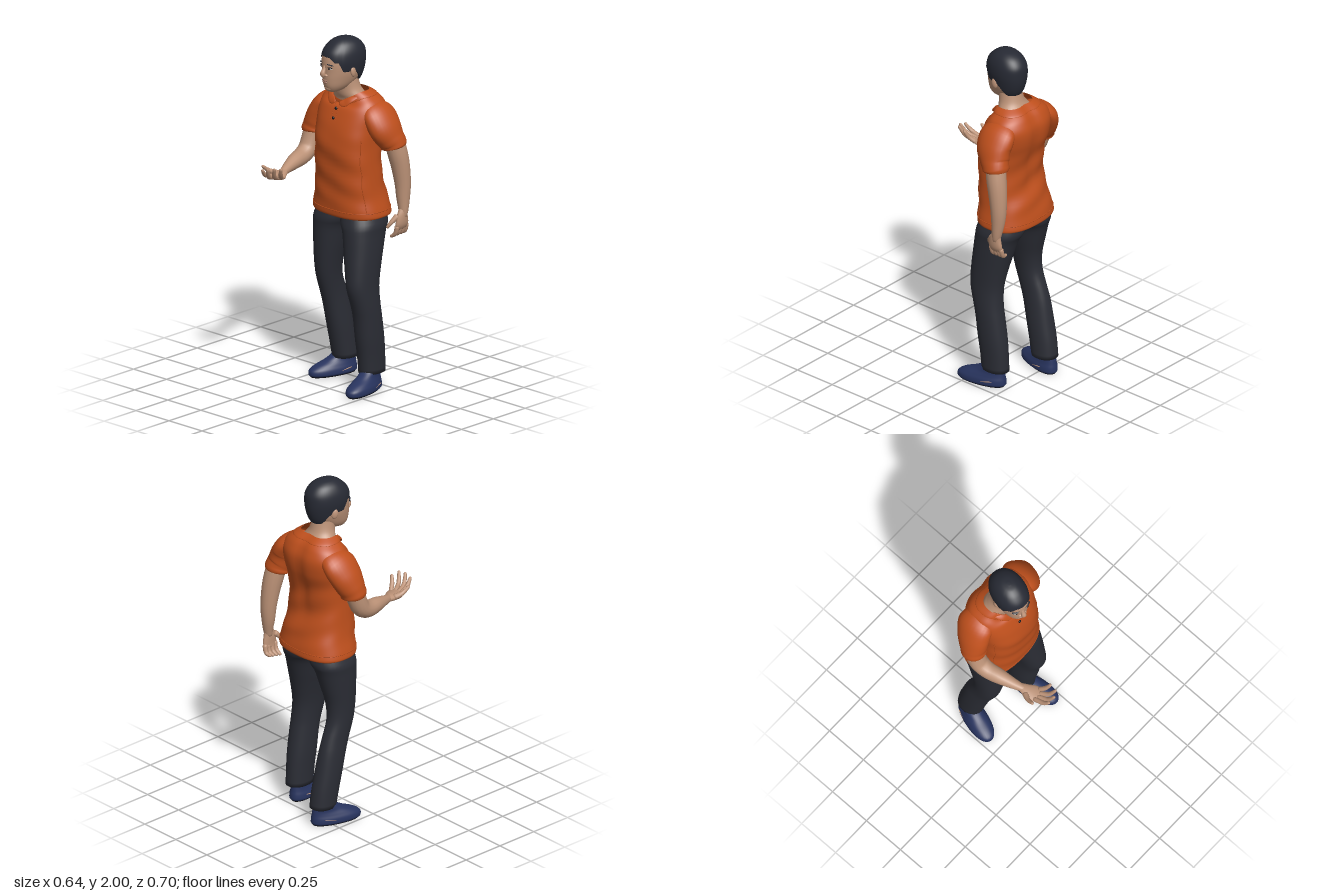
import * as THREE from 'three';

const mat = (name, color, side = THREE.FrontSide) => {
  const m = new THREE.MeshStandardMaterial({ color, side });
  m.name = name;
  return m;
};
const TAU = Math.PI * 2;
const step = THREE.MathUtils.smoothstep;

// Smooth interpolation through a list of rows, t from 0 to 1
function rowAt(rows, t) {
  const f = THREE.MathUtils.clamp(t, 0, 1) * (rows.length - 1);
  const i = Math.min(Math.floor(f), rows.length - 2), u = f - i;
  const get = k => rows[THREE.MathUtils.clamp(k, 0, rows.length - 1)];
  return rows[0].map((_, c) => {
    const a = get(i - 1)[c], b = get(i)[c], d = get(i + 1)[c], e = get(i + 2)[c];
    return b + 0.5 * u * (d - a + u * (2 * a - 5 * b + 4 * d - e + u * (3 * (b - d) + e - a)));
  });
}
function tAtY(rows, y) {
  let lo = 0, hi = 1;
  for (let k = 0; k < 24; k++) {
    const m = (lo + hi) / 2;
    if (rowAt(rows, m)[0] < y) lo = m; else hi = m;
  }
  return lo;
}

// Closed rings of points joined into a skin
function skinOver(point, nv, nu, capStart = true, capEnd = true) {
  const pos = [], idx = [];
  for (let i = 0; i <= nv; i++)
    for (let j = 0; j < nu; j++) pos.push(...point(i / nv, j / nu * TAU).toArray());
  for (let i = 0; i < nv; i++)
    for (let j = 0; j < nu; j++) {
      const a = i * nu + j, b = i * nu + (j + 1) % nu;
      idx.push(a, b, b + nu, a, b + nu, a + nu);
    }
  const cap = (start, end) => {
    const c = new THREE.Vector3(), n = pos.length / 3;
    for (let j = 0; j < nu; j++) c.add(new THREE.Vector3().fromArray(pos, (start + j) * 3));
    pos.push(...c.divideScalar(nu).toArray());
    for (let j = 0; j < nu; j++) {
      const a = start + j, b = start + (j + 1) % nu;
      idx.push(n, end ? a : b, end ? b : a);
    }
  };
  if (capStart) cap(0, false);
  if (capEnd) cap(nv * nu, true);
  const g = new THREE.BufferGeometry();
  g.setAttribute('position', new THREE.Float32BufferAttribute(pos, 3));
  g.setIndex(idx);
  g.computeVertexNormals();
  return g;
}

// Point on an upright form; rows are [y, x0, x1, back z, front z], bottom to top
function formPoint(rows, t, a, p = 2) {
  const [y, x0, x1, z0, z1] = rowAt(rows, t);
  const pw = v => Math.sign(v) * Math.abs(v) ** (2 / p);
  return new THREE.Vector3((x0 + x1) / 2 + pw(Math.cos(a)) * (x1 - x0) / 2, y,
    (z0 + z1) / 2 - pw(Math.sin(a)) * (z1 - z0) / 2);
}
const loft = (rows, p = 2, nv = 32, nu = 36) => skinOver((t, a) => formPoint(rows, t, a, p), nv, nu);

// Rounded limb; rows are [x, y, z, radius, second radius], ref sets the flat direction
function limb(rows, ref = [0, 0, 1], nv = 20, nu = 16) {
  const full = rows.map(r => r.length > 4 ? r : [...r, r[3]]);
  const R = new THREE.Vector3(...ref);
  const at = t => new THREE.Vector3(...rowAt(full, t).slice(0, 3));
  return skinOver((v, a) => {
    const r = rowAt(full, v), T = at(v + 0.02).sub(at(v - 0.02)).normalize();
    const b = new THREE.Vector3().crossVectors(T, R).normalize();
    const n = new THREE.Vector3().crossVectors(T, b);
    const end = v === 0 || v === 1 ? 0.55 : 1;
    return at(v).addScaledVector(b, Math.cos(a) * r[3] * end).addScaledVector(n, Math.sin(a) * r[4] * end);
  }, nv, nu);
}

const TORSO = [[.99, -.20, .21, -.32, -.03], [.996, -.222, .23, -.34, -.013], [1.03, -.219, .228, -.339, -.008],
  [1.12, -.197, .208, -.32, -.006], [1.25, -.186, .198, -.287, -.002], [1.4, -.183, .192, -.298, .005],
  [1.5, -.193, .197, -.325, -.015], [1.58, -.198, .203, -.33, -.045], [1.635, -.18, .185, -.31, -.072],
  [1.67, -.14, .145, -.283, -.085], [1.695, -.105, .11, -.245, -.085]];
// Neckline dips to a V at the front
function torsoPoint(t, a) {
  const p = formPoint(TORSO, t, a, 2.5);
  p.y -= 0.055 * step(p.y, 1.6, 1.695) * Math.max(0, -Math.sin(a)) ** 3;
  const fold = step(p.y, 1.0, 1.15) * (1 - step(p.y, 1.3, 1.55)) * 0.004;
  p.z += fold * Math.sin(p.y * 42 + p.x * 16);
  // Shallow groove along the spine
  p.z += 0.012 * step(p.y, 1.15, 1.35) * Math.max(0, Math.sin(a)) * Math.exp(-((p.x / .04) ** 2));
  return p;
}
const HEAD = [[1.7, -.02, .02, .05, .09], [1.712, -.04, .04, 0, .107], [1.74, -.06, .06, -.05, .121],
  [1.78, -.075, .075, -.1, .126], [1.82, -.084, .084, -.115, .126], [1.87, -.088, .088, -.12, .127],
  [1.92, -.085, .085, -.12, .117], [1.96, -.068, .068, -.095, .085], [1.983, -.038, .038, -.055, .045], [1.988, -.01, .01, -.015, .01]];
const HAIR = [[1.74, -.06, .06, -.09, .1], [1.78, -.079, .079, -.112, .115], [1.83, -.09, .09, -.127, .125],
  [1.88, -.096, .096, -.132, .13], [1.93, -.09, .09, -.127, .119], [1.97, -.07, .07, -.098, .084],
  [1.993, -.04, .04, -.056, .046], [2, -.008, .008, -.012, .01]];

const LEFT_LEG = [[.1, .1, .222, -.25, -.085], [.2, .098, .225, -.245, -.075], [.3, .094, .23, -.235, -.06],
  [.42, .094, .231, -.217, -.045], [.5, .092, .23, -.206, -.026], [.6, .082, .226, -.204, 0], [.7, .064, .226, -.222, -.002],
  [.8, .042, .226, -.247, -.01], [.9, .02, .224, -.275, -.018], [.96, -.01, .222, -.3, -.026], [1.06, -.01, .18, -.28, -.06]];
const RIGHT_LEG = [[.1, -.2, -.07, -.342, -.19], [.2, -.203, -.072, -.33, -.17], [.3, -.205, -.075, -.31, -.148],
  [.42, -.203, -.082, -.285, -.12], [.5, -.2, -.085, -.26, -.095], [.6, -.203, -.08, -.225, -.065], [.7, -.207, -.064, -.225, -.05],
  [.8, -.212, -.042, -.25, -.042], [.9, -.216, -.02, -.278, -.037], [.96, -.215, .01, -.3, -.034], [1.06, -.17, .01, -.28, -.06]];
const SHOE = [[.006, -.055, .055, -.138, .142], [.016, -.064, .064, -.145, .15], [.04, -.063, .063, -.144, .145],
  [.062, -.055, .055, -.14, .11], [.085, -.047, .047, -.136, .05], [.11, -.045, .045, -.13, .005], [.13, -.04, .04, -.12, -.01]];
const SOLE = [[0, -.05, .05, -.134, .138], [.01, -.058, .058, -.141, .146]];

export function createModel() {
  const root = new THREE.Group();
  root.name = 'standingMan';
  const M = {
    skin: mat('skin', 0xbd9378), shirt: mat('orange shirt', 0xbe4f1c, THREE.DoubleSide),
    pants: mat('dark trousers', 0x2b2d35), hair: mat('hair', 0x272a34), shoe: mat('blue shoe', 0x28345f),
    sole: mat('sole', 0x1d1c20), dark: mat('eye and button', 0x17151a), white: mat('eye white', 0xc4b8ae), lip: mat('lips', 0x9c7262)
  };
  const add = (name, geo, m, parent = root) => {
    const mesh = new THREE.Mesh(geo, m);
    mesh.name = name;
    parent.add(mesh);
    return mesh;
  };
  const blob = (name, m, parent, pos, size, rot = [0, 0, 0]) => {
    const b = add(name, new THREE.SphereGeometry(1, 18, 12), m, parent);
    b.position.set(...pos); b.scale.set(...size); b.rotation.set(...rot);
  };

  // Trousers and shoes, with a pale trim low on each side
  add('leftLeg', loft(LEFT_LEG, 2.2), M.pants);
  add('rightLeg', loft(RIGHT_LEG, 2.2), M.pants);
  for (const [side, x, z, turn] of [['left', .178, -.088, .2], ['right', -.166, -.202, -.28]]) {
    const foot = new THREE.Group();
    foot.name = side + 'Foot';
    foot.position.set(x, 0, z);
    foot.rotation.y = turn;
    add('shoe', loft(SHOE, 2.2), M.shoe, foot);
    add('sole', loft(SOLE, 2.2, 3), M.sole, foot);
    for (const s of [-1, 1]) blob('shoeTrim', M.skin, foot, [s * .0585, .034, -.045], [.004, .003, .045], [.15, s * .08, 0]);
    root.add(foot);
  }

  // Shirt body with raised side seams and hem stitching
  add('shirtBody', skinOver(torsoPoint, 60, 64, true, false), M.shirt);
  const seamTube = (name, pts, closed = false) =>
    add(name, new THREE.TubeGeometry(new THREE.CatmullRomCurve3(pts, closed), 60, .0025, 5, closed), M.shirt);
  for (const a of [-.5, Math.PI + .5])
    seamTube('sideSeam', Array.from({ length: 16 }, (_, i) => torsoPoint(tAtY(TORSO, 1.03 + i * .028), a)));
  const hemT = tAtY(TORSO, 1.03);
  seamTube('hemStitch', Array.from({ length: 40 }, (_, i) => torsoPoint(hemT, i / 40 * TAU)), true);

  // Collar: folded band, two points, placket and buttons
  add('collarBand', skinOver((v, a) => {
    const p = torsoPoint(1 - .1 * Math.sin(v * Math.PI * .5), a);
    const grow = 1 + .025 * Math.sin(v * Math.PI);
    return new THREE.Vector3(p.x * grow, p.y + .004 * (1 - v), -.17 + (p.z + .17) * grow);
  }, 8, 48, false, false), M.shirt);
  for (const s of [-1, 1])
    add('collarPoint', limb([[s * .108, 1.685, -.14, .012, .005], [s * .078, 1.66, -.09, .018, .005],
      [s * .045, 1.636, -.07, .022, .005], [s * .016, 1.632, -.062, .008, .004]], [0, .5, 1]), M.shirt);
  const frontAt = y => rowAt(TORSO, tAtY(TORSO, y))[4];
  for (const x of [-.016, .016])
    seamTube('placketEdge', [1.63, 1.6, 1.57, 1.535].map(y => new THREE.Vector3(x, y, frontAt(y) - .002)));
  for (const y of [1.6, 1.55]) blob('button', M.dark, root, [0, y, frontAt(y) + .002], [.009, .009, .006]);

  // Sleeves, deep at the shoulder and cuffed, and bare arms
  add('leftSleeve', limb([[.12, 1.605, -.2, .052, .08], [.178, 1.573, -.201, .062, .108], [.217, 1.51, -.206, .069, .107],
    [.237, 1.45, -.228, .07, .088], [.245, 1.425, -.24, .071, .078], [.248, 1.405, -.247, .073, .075], [.249, 1.396, -.249, .066, .068]],
    undefined, 36, 28), M.shirt);
  add('rightSleeve', limb([[-.12, 1.605, -.2, .052, .08], [-.178, 1.573, -.193, .062, .105], [-.215, 1.51, -.175, .069, .1],
    [-.236, 1.45, -.157, .071, .086], [-.244, 1.42, -.148, .071, .076], [-.247, 1.4, -.142, .073, .074], [-.247, 1.391, -.14, .066, .067]],
    undefined, 36, 28), M.shirt);
  add('leftArm', limb([[.248, 1.46, -.24, .055], [.262, 1.36, -.262, .056], [.27, 1.28, -.278, .052], [.276, 1.18, -.29, .045],
    [.279, 1.1, -.29, .038], [.285, 1.03, -.286, .028], [.286, .98, -.28, .02]]), M.skin);
  add('rightArm', limb([[-.248, 1.45, -.15, .055], [-.255, 1.36, -.125, .054], [-.256, 1.3, -.095, .052], [-.25, 1.27, -.04, .048],
    [-.233, 1.262, .03, .043], [-.21, 1.25, .11, .03], [-.192, 1.24, .165, .021], [-.183, 1.237, .205, .013]], [1, 0, 0], 28), M.skin);

  // Hands: flat palm, four fingers, thumb
  const hand = (name, palm, ref, fingers) => {
    const g = new THREE.Group();
    g.name = name;
    add('palm', limb(palm, ref), M.skin, g);
    fingers.forEach((f, i) => add(i ? 'finger' : 'thumb',
      limb(f.map((p, k) => [...p, [i ? .0135 : .018, .0125, .008][k]]), [.3, .2, 1], 12, 10), M.skin, g));
    root.add(g);
  };
  hand('leftHand', [[.286, 1.05, -.287, .02, .02], [.286, .995, -.276, .021, .038], [.284, .95, -.275, .018, .046], [.276, .92, -.276, .011, .04]],
    [0, 0, 1], [[[.276, 1.0, -.25], [.262, .965, -.215], [.246, .935, -.196]],
      ...[-.24, -.265, -.29, -.312].map((z, i) => [[.282, .945, z], [.268, .898, z - .002], [.234, .872 + i * .006, z + .002]])]);
  hand('rightHand', [[-.195, 1.242, .145, .02, .018], [-.185, 1.238, .19, .037, .02], [-.173, 1.235, .23, .048, .018], [-.163, 1.24, .265, .038, .01]],
    [0, 1, 0], [[[-.205, 1.24, .195], [-.229, 1.262, .24], [-.236, 1.295, .282]],
      [[-.196, 1.238, .25], [-.187, 1.262, .31], [-.173, 1.302, .347]], [[-.175, 1.238, .255], [-.155, 1.26, .315], [-.132, 1.315, .347]],
      [[-.155, 1.238, .25], [-.128, 1.262, .3], [-.101, 1.32, .328]], [[-.138, 1.238, .235], [-.114, 1.268, .265], [-.092, 1.31, .283]]]);

  // Neck flares out under the collar
  add('neck', loft([[1.6, -.125, .13, -.265, -.1], [1.645, -.112, .117, -.25, -.096], [1.675, -.09, .094, -.232, -.085],
    [1.71, -.07, .074, -.213, -.078], [1.76, -.062, .064, -.2, -.07], [1.82, -.06, .06, -.19, -.07]]), M.skin);

  // Head, turned a little to its right
  const head = new THREE.Group();
  head.name = 'head';
  head.position.set(0, 0, -.11);
  head.rotation.y = -.2;
  root.add(head);
  add('face', loft(HEAD, 2.2, 40), M.skin, head);
  // Hairline is high at the brow, with sideburns, low at the nape
  const hairline = a => {
    const off = Math.acos(-Math.sin(a));
    return 1.908 - .028 * step(off, .35, .75) - .055 * step(off, .9, 1.15) - .068 * step(off, 1.6, 2.4);
  };
  add('hair', skinOver((v, a) => {
    const t0 = tAtY(HAIR, hairline(a));
    const p = formPoint(HAIR, t0 + (1 - t0) * Math.max(0, v - .04) / .96, a, 2.15);
    if (v === 0) { p.x *= .88; p.z *= .88; }
    return p;
  }, 40, 56, false), M.hair, head);
  // Nose, lips, eyes, brows and ears
  add('nose', limb([[0, 1.86, .118, .009], [0, 1.835, .127, .011], [0, 1.812, .136, .015], [0, 1.798, .127, .015]], [1, 0, 0], 14, 12), M.skin, head);
  blob('upperLip', M.lip, head, [0, 1.771, .122], [.025, .006, .01]);
  blob('lowerLip', M.lip, head, [0, 1.76, .12], [.021, .007, .011]);
  blob('chin', M.skin, head, [0, 1.726, .098], [.03, .02, .02]);
  for (const s of [-1, 1]) {
    blob('nostril', M.skin, head, [s * .015, 1.802, .123], [.012, .009, .011]);
    blob('eyeWhite', M.white, head, [s * .038, 1.845, .114], [.016, .005, .008], [0, s * .35, 0]);
    blob('iris', M.dark, head, [s * .037, 1.845, .119], [.007, .006, .005], [0, s * .35, 0]);
    blob('upperLid', M.dark, head, [s * .038, 1.851, .115], [.018, .003, .008], [0, s * .35, 0]);
    blob('brow', M.hair, head, [s * .04, 1.867, .115], [.022, .003, .008], [0, s * .35, -s * .1]);
    blob('ear', M.skin, head, [s * .088, 1.82, -.005], [.011, .03, .019], [.15, s * .3, 0]);
  }
  return root;
}
